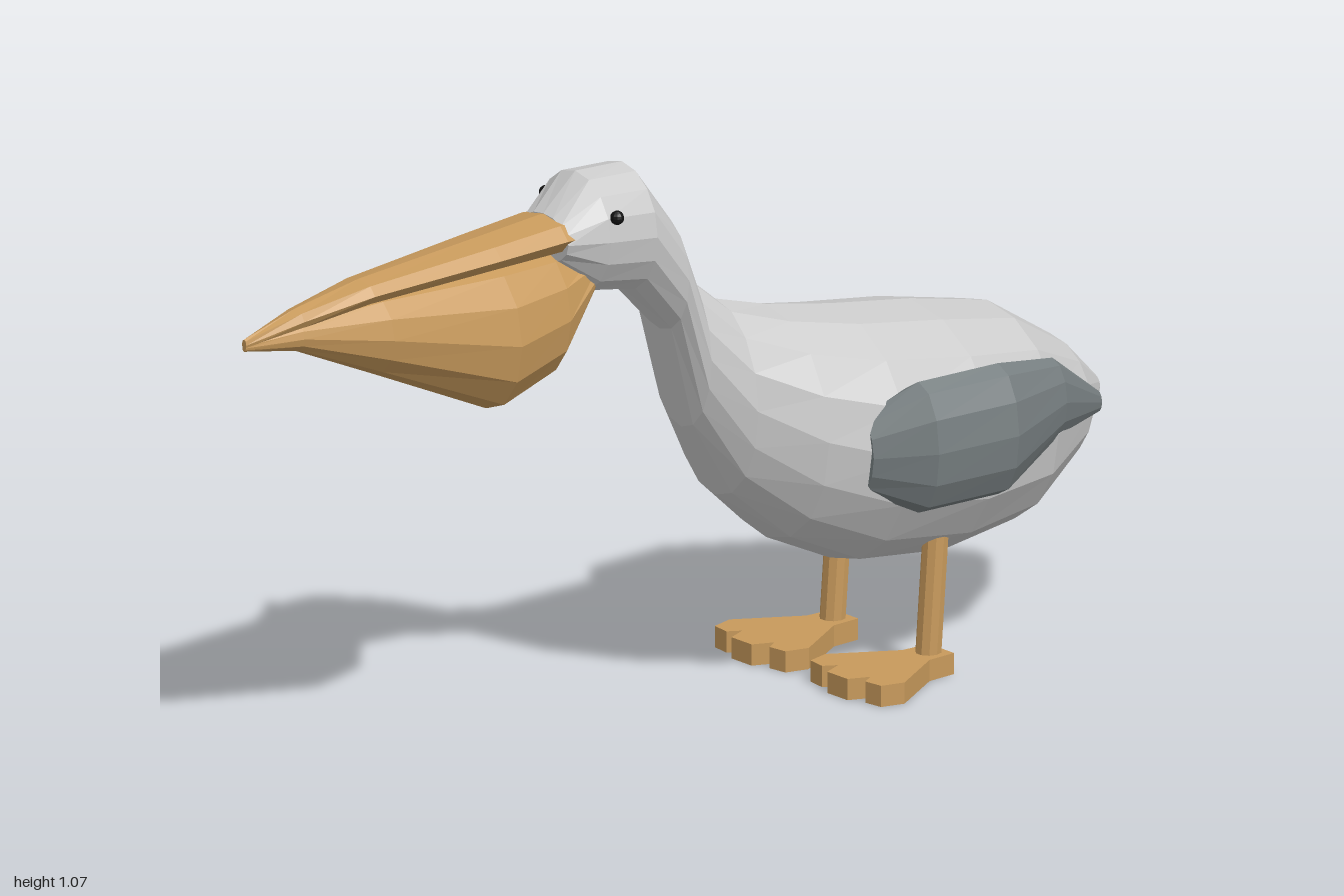
import * as THREE from 'three';

const material = (color) => new THREE.MeshStandardMaterial({ color, flatShading: true });

// Skin elliptical cross-sections [z, bottom y, top y, half width, centre x], ordered by rising z.
function loft(sections, sides) {
  const points = [];
  const index = [];
  sections.forEach(([z, bottom, top, halfWidth, cx = 0]) => {
    for (let j = 0; j < sides; j++) {
      const a = Math.PI / 2 + (j / sides) * Math.PI * 2;
      points.push(cx + halfWidth * Math.cos(a), (top + bottom) / 2 + ((top - bottom) / 2) * Math.sin(a), z);
    }
  });
  const last = sections.length - 1;
  for (let i = 0; i < last; i++) {
    for (let j = 0; j < sides; j++) {
      const k = (j + 1) % sides;
      const a = i * sides + j, b = i * sides + k;
      index.push(a, b, a + sides, b, b + sides, a + sides);
    }
  }
  // Close both ends
  [0, last].forEach((i) => {
    const [z, bottom, top, , cx = 0] = sections[i];
    const centre = points.length / 3;
    points.push(cx, (top + bottom) / 2, z);
    for (let j = 0; j < sides; j++) {
      const a = i * sides + j, b = i * sides + ((j + 1) % sides);
      if (i === 0) index.push(centre, b, a);
      else index.push(centre, a, b);
    }
  });
  const geometry = new THREE.BufferGeometry();
  geometry.setAttribute('position', new THREE.Float32BufferAttribute(points, 3));
  geometry.setIndex(index);
  geometry.computeVertexNormals();
  return geometry;
}

// Webbed foot outline: narrow heel, three blunt toes
function footGeometry() {
  const half = [
    [0.035, -0.53], [0.038, -0.47], [0.11, -0.35], [0.098, -0.305],
    [0.06, -0.3], [0.045, -0.325], [0.028, -0.285],
  ];
  const mirrored = half.map(([x, z]) => [-x, z]).reverse();
  const shape = new THREE.Shape([...half, ...mirrored].map(([x, z]) => new THREE.Vector2(x, z)));
  return new THREE.ExtrudeGeometry(shape, { depth: 0.04, bevelEnabled: false })
    .rotateX(Math.PI / 2)
    .translate(0, 0.04, 0);
}

export function createModel() {
  const group = new THREE.Group();
  const grey = material(0xcccccc);
  const darkGrey = material(0x788082);
  const tan = material(0xc89a5c);
  const black = material(0x111111);

  const add = (name, geometry, mat) => {
    const mesh = new THREE.Mesh(geometry, mat);
    mesh.name = name;
    group.add(mesh);
    return mesh;
  };

  // Tail, body, neck and head in one skin
  add('body', loft([
    [-1.0, 0.39, 0.43, 0.02],
    [-0.9, 0.295, 0.525, 0.115],
    [-0.75, 0.21, 0.62, 0.2],
    [-0.57, 0.19, 0.66, 0.237],
    [-0.38, 0.21, 0.69, 0.222],
    [-0.23, 0.28, 0.72, 0.175],
    [-0.11, 0.385, 0.755, 0.12],
    [-0.03, 0.53, 0.82, 0.085],
    [0.02, 0.725, 0.945, 0.082],
    [0.11, 0.82, 1.06, 0.1],
    [0.22, 0.84, 1.065, 0.1],
    [0.295, 0.91, 1.0, 0.07],
  ], 16), grey);

  // Upper bill
  add('upperBill', loft([
    [0.24, 0.93, 0.995, 0.07],
    [0.3, 0.93, 1.0, 0.075],
    [0.45, 0.928, 0.988, 0.068],
    [0.73, 0.92, 0.967, 0.046],
    [0.88, 0.902, 0.942, 0.026],
    [1.0, 0.888, 0.908, 0.006],
  ], 8), tan);

  // Sagging throat pouch
  add('pouch', loft([
    [0.2, 0.85, 0.91, 0.05],
    [0.3, 0.7, 0.935, 0.083],
    [0.43, 0.66, 0.94, 0.101],
    [0.7, 0.782, 0.935, 0.065],
    [0.88, 0.862, 0.918, 0.028],
    [1.0, 0.885, 0.9, 0.005],
  ], 12), tan);

  const foot = footGeometry();
  const legAxis = new THREE.LineCurve3(new THREE.Vector3(0, 0.02, -0.498), new THREE.Vector3(0, 0.28, -0.518));
  const leg = new THREE.TubeGeometry(legAxis, 1, 0.024, 10);

  [['left', 1], ['right', -1]].forEach(([side, s]) => {
    // Folded wing, sunk into the flank
    add(side + 'Wing', loft([
      [-0.93, 0.395, 0.435, 0.012, s * 0.096],
      [-0.76, 0.4, 0.55, 0.042, s * 0.17],
      [-0.58, 0.345, 0.592, 0.06, s * 0.231],
      [-0.4, 0.345, 0.592, 0.058, s * 0.223],
      [-0.31, 0.39, 0.53, 0.04, s * 0.165],
    ], 12), darkGrey);

    add(side + 'Eye', new THREE.SphereGeometry(0.013, 10, 8), black).position.set(s * 0.099, 0.997, 0.205);
    add(side + 'Leg', leg, tan).position.x = s * 0.133;
    add(side + 'Foot', foot, tan).position.x = s * 0.133;
  });

  return group;
}
